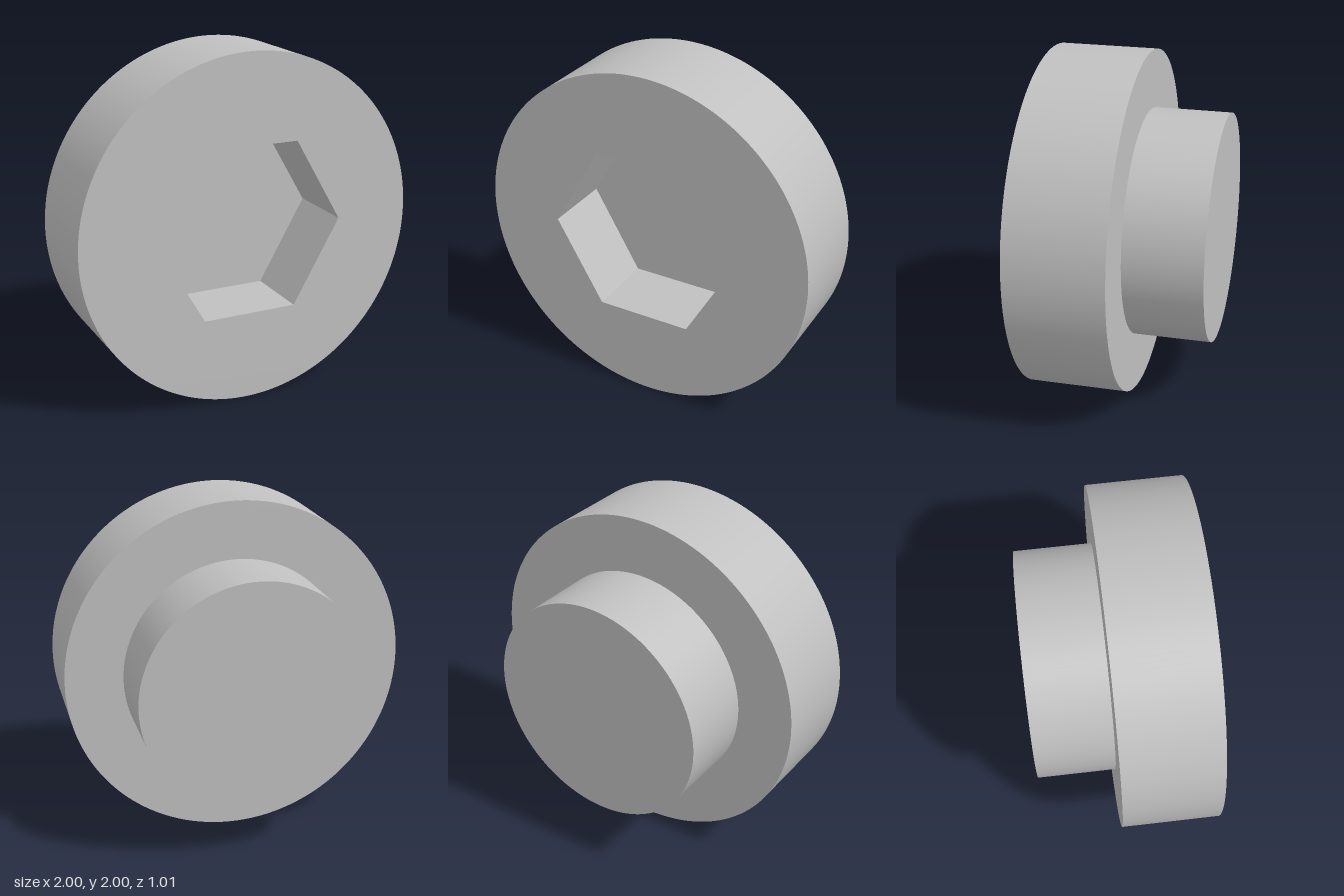
import * as THREE from 'three';
import { toCreasedNormals } from 'three/addons/utils/BufferGeometryUtils.js';

const CENTRE_Y = 1;
const BACK = -0.505, SHOULDER = -0.055, SOCKET_FLOOR = 0.095, FRONT = 0.505;

// Circle outline centred on the screw axis
function disc(radius) {
  return new THREE.Shape().absarc(0, 0, radius, 0, Math.PI * 2, false);
}

// Hexagon outline with corners on the left and right
function hexagon(radius) {
  const points = [];
  for (let i = 0; i < 6; i++) {
    const a = (i * Math.PI) / 3;
    points.push(new THREE.Vector2(radius * Math.cos(a), radius * Math.sin(a)));
  }
  return new THREE.Shape(points);
}

// Solid between two z planes, smooth round the curves and sharp at the edges
function solid(name, shape, z0, z1, material) {
  const extruded = new THREE.ExtrudeGeometry(shape, {
    depth: z1 - z0, bevelEnabled: false, curveSegments: 96,
  });
  const mesh = new THREE.Mesh(toCreasedNormals(extruded, 0.5), material);
  mesh.name = name;
  mesh.position.set(0, CENTRE_Y, z0);
  return mesh;
}

export function createModel() {
  const group = new THREE.Group();
  group.name = 'socketScrew';
  const steel = new THREE.MeshStandardMaterial({ color: 0xc0c0c0 });
  steel.name = 'steel grey';

  // Wide head pierced by the hexagonal socket
  const headShape = disc(1);
  headShape.holes.push(hexagon(0.56));
  group.add(solid('head', headShape, SHOULDER, FRONT, steel));

  // Plug that closes the bottom of the socket
  group.add(solid('socketFloor', hexagon(0.56), SHOULDER, SOCKET_FLOOR, steel));

  // Narrower shank behind the head
  group.add(solid('shank', disc(0.665), BACK, SHOULDER, steel));

  return group;
}
